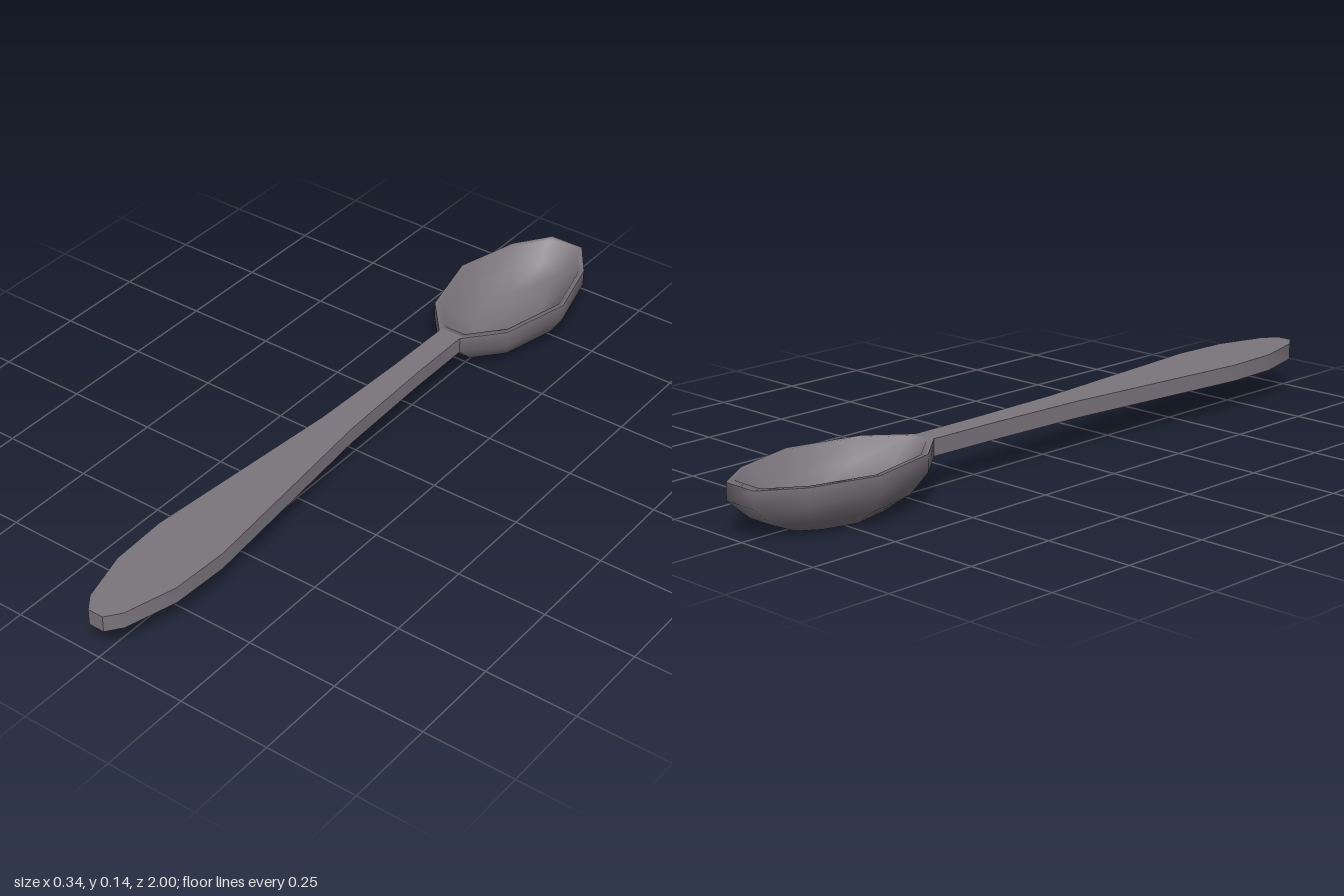
import * as THREE from 'three';
import { toCreasedNormals } from 'three/addons/utils/BufferGeometryUtils.js';

// Right half of an outline [x, z], completed by mirroring
const mirrored = (half) => [...half, ...half.map(([x, z]) => [-x, z]).reverse()];

const BOWL_Z = -0.71;
const bowlOutline = mirrored([[0.05, -1], [0.12, -0.9], [0.168, -0.72], [0.12, -0.52], [0.035, -0.42]]);
const handleOutline = mirrored([
  [0.033, -0.43], [0.035, -0.22], [0.045, 0.08], [0.098, 0.66],
  [0.091, 0.82], [0.052, 0.96], [0.022, 1],
]);

// Smooth skin through scaled copies of the bowl outline; each level is [scale, y]
function bowlSkin(levels) {
  const n = bowlOutline.length;
  const pos = [], index = [];
  levels.forEach(([s, y], i) => {
    bowlOutline.forEach(([x, z], j) => {
      pos.push(x * s, y, BOWL_Z + (z - BOWL_Z) * s);
      if (i === levels.length - 1) return;
      const a = i * n + j, b = i * n + (j + 1) % n;
      if (s > 0) index.push(a, b, b + n);
      if (levels[i + 1][0] > 0) index.push(a, b + n, a + n);
    });
  });
  const geo = new THREE.BufferGeometry();
  geo.setAttribute('position', new THREE.Float32BufferAttribute(pos, 3));
  geo.setIndex(index);
  geo.computeVertexNormals();
  return geo;
}

export function createModel() {
  const model = new THREE.Group();
  model.name = 'spoon';
  const metal = new THREE.MeshStandardMaterial({ color: 0x7b757c });
  metal.name = 'dull grey metal';

  const add = (name, geo, parent) => {
    const mesh = new THREE.Mesh(geo, metal);
    mesh.name = name;
    parent.add(mesh);
  };

  // Bowl: outer shell, then hollow with a narrow rim
  const bowl = new THREE.Group();
  bowl.name = 'bowl';
  add('bowlOutside', bowlSkin([[1, 0.135], [1, 0.09], [0.8, 0.037], [0.51, 0], [0, 0]]), bowl);
  add('bowlInside', bowlSkin([[0, 0.045], [0.47, 0.047], [0.75, 0.085], [0.92, 0.135], [1, 0.135]]), bowl);
  model.add(bowl);

  // Flat handle, widening toward the grip
  const shape = new THREE.Shape(handleOutline.map(([x, z]) => new THREE.Vector2(x, -z)));
  const handle = new THREE.ExtrudeGeometry(shape, { depth: 0.045, bevelEnabled: false });
  handle.rotateX(-Math.PI / 2).translate(0, 0.09, 0);
  add('handle', toCreasedNormals(handle, 0.7), model);

  return model;
}
